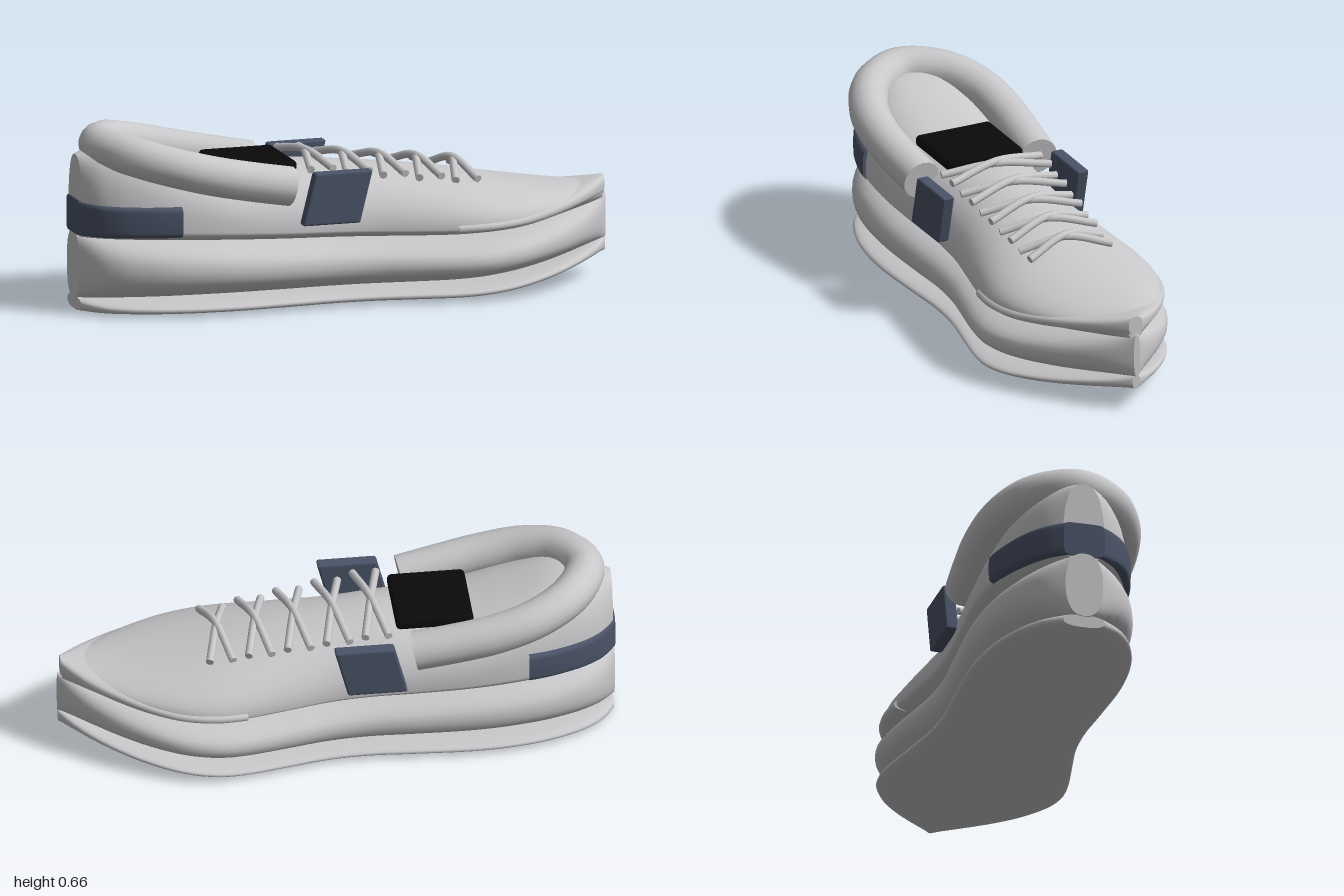
import * as THREE from 'three';
import { RoundedBoxGeometry } from 'three/addons/geometries/RoundedBoxGeometry.js';

const grey = new THREE.MeshStandardMaterial({ color: 0xc8c8cb });
grey.name = 'light grey';
const slate = new THREE.MeshStandardMaterial({ color: 0x4b5468 });
slate.name = 'slate blue';
const black = new THREE.MeshStandardMaterial({ color: 0x0a0a0a });
black.name = 'black';

// Smooth interpolation through [x, value] pairs
function curve(pts) {
  const slope = (i) => {
    const a = pts[Math.max(i - 1, 0)], b = pts[Math.min(i + 1, pts.length - 1)];
    return (b[1] - a[1]) / (b[0] - a[0]);
  };
  return (x) => {
    let i = 0;
    while (i < pts.length - 2 && x > pts[i + 1][0]) i++;
    const [x0, y0] = pts[i], [x1, y1] = pts[i + 1], h = x1 - x0;
    const t = THREE.MathUtils.clamp((x - x0) / h, 0, 1), t2 = t * t, t3 = t2 * t;
    return y0 * (2 * t3 - 3 * t2 + 1) + slope(i) * h * (t3 - 2 * t2 + t)
      + y1 * (3 * t2 - 2 * t3) + slope(i + 1) * h * (t3 - t2);
  };
}

// Closed body along x; section(x) gives half width, centre height, rise, drop and roundness
function loft(xa, xb, section, rings = 64, sides = 40) {
  const pos = [], idx = [];
  const sp = (v, n) => Math.sign(v) * Math.pow(Math.abs(v), 2 / n);
  const ring = (x) => {
    const s = section(x);
    for (let j = 0; j < sides; j++) {
      const a = (j / sides) * Math.PI * 2, c = Math.cos(a), d = Math.sin(a);
      pos.push(x, s.y + sp(d, s.n) * (d > 0 ? s.up : s.down), sp(c, s.n) * s.w);
    }
    return s;
  };
  for (let i = 0; i <= rings; i++) {
    // rings are closer together near both ends
    const u = i / rings, e = 0.4 * u + 0.6 * (0.5 - 0.5 * Math.cos(Math.PI * u));
    ring(xa + (xb - xa) * e);
  }
  for (let i = 0; i < rings; i++) for (let j = 0; j < sides; j++) {
    const a = i * sides + j, b = i * sides + (j + 1) % sides;
    idx.push(a, a + sides, b, b, a + sides, b + sides);
  }
  for (const x of [xa, xb]) {
    const base = pos.length / 3;
    const s = ring(x), centre = base + sides;
    pos.push(x, s.y, 0);
    for (let j = 0; j < sides; j++) {
      const a = base + j, b = base + (j + 1) % sides;
      if (x === xa) idx.push(centre, a, b); else idx.push(centre, b, a);
    }
  }
  const g = new THREE.BufferGeometry();
  g.setAttribute('position', new THREE.Float32BufferAttribute(pos, 3));
  g.setIndex(idx);
  g.computeVertexNormals();
  return g;
}

// Section between a lower and an upper curve
const between = (w, lo, hi, n) => (x) => {
  const a = lo(x), b = hi(x), h = (b - a) / 2;
  return { w: w(x), y: a + h, up: h, down: h, n };
};

function add(parent, name, geometry, material) {
  const m = new THREE.Mesh(geometry, material);
  m.name = name;
  parent.add(m);
  return m;
}

// Round cord with flat ends
function cord(parent, name, points, radius, segments, sides) {
  const group = new THREE.Group();
  group.name = name;
  const path = new THREE.CatmullRomCurve3(points.map((p) => new THREE.Vector3(...p)));
  add(group, name + 'Tube', new THREE.TubeGeometry(path, segments, radius, sides), grey);
  for (const t of [0, 1]) {
    const p = path.getPoint(t), d = path.getTangent(t).multiplyScalar(t ? 1 : -1);
    const cap = add(group, name + 'End', new THREE.CircleGeometry(radius, sides), grey);
    cap.position.copy(p);
    cap.lookAt(p.clone().add(d));
  }
  parent.add(group);
}

export function createModel() {
  const shoe = new THREE.Group();
  shoe.name = 'shoe';

  // Footprint half width
  const width = curve([[-1, 0.07], [-0.97, 0.12], [-0.93, 0.165], [-0.85, 0.215], [-0.7, 0.265],
    [-0.5, 0.287], [-0.25, 0.277], [-0.1, 0.268], [0.05, 0.276], [0.2, 0.305], [0.35, 0.335],
    [0.46, 0.345], [0.58, 0.325], [0.7, 0.272], [0.8, 0.208], [0.9, 0.125], [0.96, 0.062], [1, 0.012]]);

  // Sole layers with toe spring
  const soleLow = curve([[-1, 0.004], [-0.9, 0], [0.3, 0], [0.5, 0.009], [0.75, 0.04], [1, 0.085]]);
  const soleHigh = curve([[-1, 0.052], [0.3, 0.052], [0.5, 0.062], [0.75, 0.092], [1, 0.135]]);
  const midHigh = curve([[-1, 0.292], [-0.6, 0.275], [-0.2, 0.245], [0.15, 0.228], [0.45, 0.228],
    [0.75, 0.258], [1, 0.293]]);
  add(shoe, 'outsole', loft(-0.995, 0.997, between((x) => width(x) * 0.985, soleLow, soleHigh, 2.5)), grey);
  add(shoe, 'midsole', loft(-1, 1, between(width, (x) => soleHigh(x) - 0.006, midHigh, 2.4)), grey);

  // Upper
  const top = curve([[-1, 0.565], [-0.93, 0.585], [-0.8, 0.595], [-0.6, 0.54], [-0.45, 0.5], [-0.3, 0.492],
    [-0.15, 0.495], [0, 0.48], [0.2, 0.455], [0.4, 0.423], [0.6, 0.385], [0.8, 0.355], [1, 0.34]]);
  const waist = curve([[-1, 0.32], [-0.6, 0.305], [-0.2, 0.28], [0.2, 0.265], [0.45, 0.265], [0.75, 0.29], [1, 0.32]]);
  const upperWidth = (x) => width(x) * 0.925;
  add(shoe, 'upper', loft(-0.992, 0.985, (x) => ({
    w: upperWidth(x), y: waist(x), up: top(x) - waist(x), down: 0.05,
    n: THREE.MathUtils.lerp(2.6, 2, THREE.MathUtils.smoothstep(x, -0.8, 0)),
  })), grey);

  // Toe guard
  const guardY = curve([[0.35, 0.262], [0.6, 0.272], [0.8, 0.297], [1, 0.328]]);
  add(shoe, 'toeGuard', loft(0.35, 0.99, (x) => ({
    w: width(x) * 0.94 + 0.004, y: guardY(x), up: 0.034, down: 0.034, n: 2.8,
  }), 40), grey);

  // Heel counter
  add(shoe, 'heelCounter', loft(-1, -0.67, (x) => ({
    w: upperWidth(x) + 0.011, y: 0.346, up: 0.064, down: 0.064, n: 7,
  }), 24), slate);

  // Padded collar
  const side = [[-0.26, 0.448, 0.232], [-0.4, 0.475, 0.243], [-0.55, 0.507, 0.247],
    [-0.7, 0.545, 0.222], [-0.83, 0.579, 0.142]];
  cord(shoe, 'collar', [...side, [-0.898, 0.592, 0],
    ...side.slice().reverse().map(([x, y, z]) => [x, y, -z])], 0.072, 64, 16);

  // Tongue pad
  const tongue = add(shoe, 'tongue', new RoundedBoxGeometry(0.28, 0.044, 0.3, 3, 0.018), black);
  tongue.position.set(-0.343, 0.499, 0);

  // Slanted side plates
  const shear = new THREE.Matrix4().makeShear(0, 0, 0.24, 0, 0, 0);
  for (const s of [1, -1]) {
    const g = new RoundedBoxGeometry(0.215, 0.19, 0.046, 2, 0.008);
    // lean the plate towards the toe
    const p = g.attributes.position;
    for (let i = 0; i < p.count; i++) p.setX(i, p.getX(i) + p.getY(i) * 0.25);
    g.computeVertexNormals();
    const plate = add(shoe, s > 0 ? 'leftSidePlate' : 'rightSidePlate', g, slate);
    plate.position.set(-0.097, 0.404, s * 0.268);
  }

  // Crossed laces
  for (let i = 0; i < 5; i++) {
    const x = -0.128 + i * 0.139, z = 0.198 - i * 0.0085;
    const end = 0.495 - i * 0.021, peak = 0.524 - i * 0.0165;
    for (const s of [1, -1]) {
      cord(shoe, 'lace', [[x - s * 0.042, end, -z], [x, peak + s * 0.004, 0], [x + s * 0.042, end, z]],
        0.0145, 12, 8);
    }
  }
  return shoe;
}
